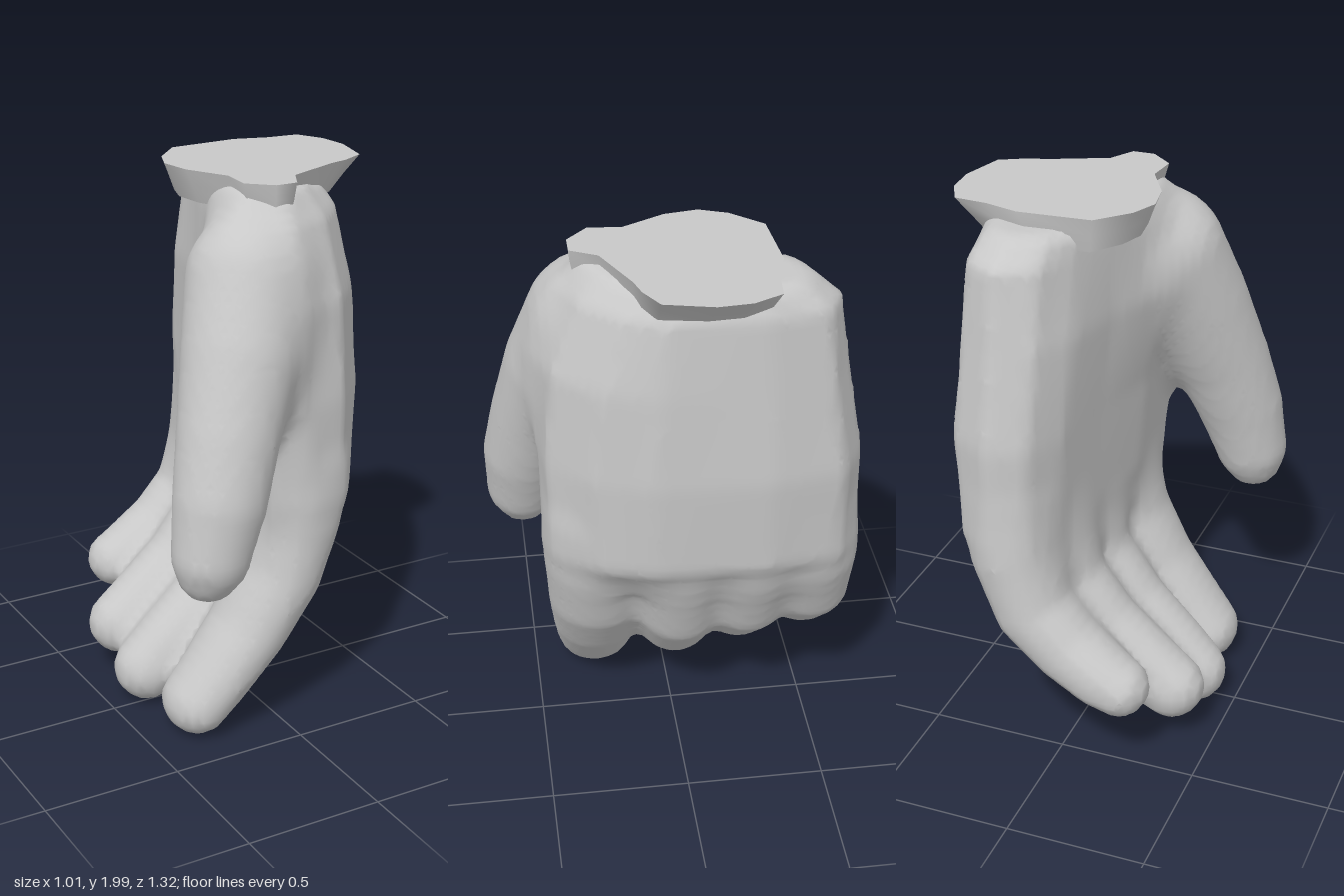
import * as THREE from 'three';

const lerp = THREE.MathUtils.lerp;

// Palm cross-sections [y, [x, z]...]: flat back on +x, rounded index edge on +z, hollow on -x
const palm = [
  [1.95, [[0.33, -0.27], [0.32, 0.0], [0.26, 0.12], [0.14, 0.25], [0.02, 0.32], [-0.1, 0.25],
    [-0.1, 0.05], [-0.05, -0.15], [0.0, -0.3], [0.07, -0.4], [0.18, -0.44], [0.28, -0.4]]],
  [1.86, [[0.37, -0.28], [0.36, 0.05], [0.3, 0.19], [0.17, 0.33], [0.0, 0.39], [-0.15, 0.3],
    [-0.13, 0.08], [-0.06, -0.15], [0.0, -0.34], [0.07, -0.49], [0.2, -0.55], [0.32, -0.49]]],
  [1.6, [[0.385, -0.3], [0.385, 0.08], [0.33, 0.26], [0.18, 0.43], [0.0, 0.47], [-0.17, 0.4],
    [-0.17, 0.1], [-0.07, -0.16], [-0.02, -0.4], [0.06, -0.54], [0.2, -0.59], [0.34, -0.51]]],
  [1.25, [[0.41, -0.3], [0.4, 0.1], [0.33, 0.3], [0.18, 0.46], [0.0, 0.48], [-0.11, 0.39],
    [-0.1, 0.1], [-0.04, -0.2], [0.0, -0.45], [0.07, -0.6], [0.2, -0.65], [0.36, -0.56]]],
  [0.88, [[0.39, -0.3], [0.385, 0.08], [0.33, 0.28], [0.2, 0.44], [0.05, 0.475], [-0.07, 0.4],
    [-0.07, 0.1], [-0.02, -0.2], [0.02, -0.45], [0.08, -0.6], [0.2, -0.65], [0.34, -0.56]]],
  [0.72, [[0.27, -0.3], [0.26, 0.08], [0.2, 0.28], [0.13, 0.4], [0.05, 0.42], [-0.04, 0.36],
    [-0.04, 0.1], [0, -0.2], [0.03, -0.45], [0.08, -0.57], [0.17, -0.61], [0.25, -0.52]]],
];

// Digits: path of [x, y, z, radius], widened along z, with the softness of the join
const digits = [
  { name: 'thumb', wide: 1, soft: 0.1, path: [[0.0, 1.82, 0.18, 0.14], [-0.1, 1.68, 0.28, 0.21],
    [-0.18, 1.45, 0.37, 0.2], [-0.27, 1.2, 0.45, 0.175], [-0.33, 1.0, 0.5, 0.16],
    [-0.375, 0.82, 0.52, 0.135], [-0.385, 0.77, 0.52, 0.11]] },
  { name: 'index', wide: 1.25, soft: 0.06, path: [[0.13, 0.98, 0.27, 0.14], [0.09, 0.78, 0.27, 0.16],
    [0.03, 0.58, 0.275, 0.148], [-0.09, 0.38, 0.275, 0.132], [-0.23, 0.21, 0.27, 0.12], [-0.305, 0.125, 0.265, 0.113]] },
  { name: 'middle', wide: 1, soft: 0.06, path: [[0.18, 1.0, -0.02, 0.15], [0.155, 0.8, -0.02, 0.18],
    [0.08, 0.55, -0.02, 0.16], [-0.08, 0.36, -0.025, 0.145], [-0.25, 0.22, -0.03, 0.13], [-0.345, 0.135, -0.035, 0.122]] },
  { name: 'ring', wide: 1, soft: 0.06, path: [[0.18, 1.0, -0.27, 0.15], [0.165, 0.8, -0.27, 0.18],
    [0.09, 0.58, -0.27, 0.16], [-0.07, 0.41, -0.27, 0.14], [-0.24, 0.28, -0.27, 0.13], [-0.34, 0.215, -0.27, 0.118]] },
  { name: 'little', wide: 1.1, soft: 0.06, path: [[0.18, 1.0, -0.47, 0.13], [0.17, 0.8, -0.49, 0.15],
    [0.1, 0.6, -0.505, 0.135], [-0.03, 0.47, -0.51, 0.125], [-0.16, 0.385, -0.52, 0.115], [-0.235, 0.35, -0.525, 0.103]] },
];

// Signed distance to the palm, whose outline is interpolated between cross-sections
function palmDistance(x, y, z) {
  const yc = THREE.MathUtils.clamp(y, palm[palm.length - 1][0], palm[0][0]);
  let j = 0;
  while (j < palm.length - 2 && yc < palm[j + 1][0]) j++;
  const [ya, a] = palm[j], [yb, b] = palm[j + 1], t = (ya - yc) / (ya - yb);
  const pts = a.map((p, i) => [lerp(p[0], b[i][0], t), lerp(p[1], b[i][1], t)]);
  let d = Infinity, inside = false;
  pts.forEach(([px, pz], i) => {
    const [qx, qz] = pts[(i + 1) % pts.length];
    const ex = qx - px, ez = qz - pz;
    const s = THREE.MathUtils.clamp(((x - px) * ex + (z - pz) * ez) / (ex * ex + ez * ez), 0, 1);
    d = Math.min(d, Math.hypot(x - px - ex * s, z - pz - ez * s));
    if (pz > z !== qz > z && x < px + (ex * (z - pz)) / ez) inside = !inside;
  });
  return Math.max(inside ? -d : d, Math.abs(y - yc) > 0 ? Math.abs(y - yc) : Math.max(y - palm[0][0], palm[palm.length - 1][0] - y));
}

// Signed distance to a digit: a chain of tapered capsules
function digitDistance({ path, wide }, x, y, z) {
  let d = Infinity;
  for (let i = 0; i < path.length - 1; i++) {
    const [ax, ay, az, ar] = path[i], [bx, by, bz, br] = path[i + 1];
    const e = [bx - ax, by - ay, (bz - az) / wide], p = [x - ax, y - ay, (z - az) / wide];
    const dot = e[0] * p[0] + e[1] * p[1] + e[2] * p[2];
    const t = THREE.MathUtils.clamp(dot / (e[0] ** 2 + e[1] ** 2 + e[2] ** 2), 0, 1);
    d = Math.min(d, Math.hypot(p[0] - e[0] * t, p[1] - e[1] * t, p[2] - e[2] * t) - lerp(ar, br, t));
  }
  return d;
}

// Palm and digits blended into one skin
function handDistance(x, y, z) {
  return digits.reduce((d, digit) => {
    const e = digitDistance(digit, x, y, z);
    const h = Math.max(digit.soft - Math.abs(d - e), 0) / digit.soft;
    return Math.min(d, e) - (h * h * digit.soft) / 4;
  }, palmDistance(x, y, z));
}

// Mesh the zero level of a distance function on a regular grid
function skinGeometry(f, min, size, step) {
  const n = size.map((s) => Math.ceil(s / step) + 1);
  const stride = [1, n[0], n[0] * n[1]];
  const field = new Float32Array(n[0] * n[1] * n[2]);
  const each = (from, fn) => {
    for (let k = from; k < n[2] - 1; k++) for (let j = from; j < n[1] - 1; j++) for (let i = from; i < n[0] - 1; i++) {
      fn([i, j, k], i + j * stride[1] + k * stride[2]);
    }
  };
  field.fill(1);
  each(0, (c, id) => { field[id] = f(...c.map((v, a) => min[a] + v * step)); });

  // One vertex per crossed cell, at the mean of its edge crossings
  const vertex = new Map(), pos = [], idx = [];
  each(0, (c, id) => {
    const sum = [0, 0, 0];
    let count = 0;
    for (let corner = 0; corner < 8; corner++) {
      const o = [corner & 1, (corner >> 1) & 1, corner >> 2];
      const p = id + o[0] + o[1] * stride[1] + o[2] * stride[2];
      for (let a = 0; a < 3; a++) {
        const u = field[p], v = field[p + stride[a]];
        if (o[a] || u < 0 === v < 0) continue;
        for (let b = 0; b < 3; b++) sum[b] += o[b] + (a === b ? u / (u - v) : 0);
        count++;
      }
    }
    if (!count) return;
    vertex.set(id, pos.length / 3);
    pos.push(...sum.map((s, a) => min[a] + (c[a] + s / count) * step));
  });

  // One quad per crossed grid edge
  each(1, (c, id) => {
    for (let a = 0; a < 3; a++) {
      const inside = field[id] < 0;
      if (inside === field[id + stride[a]] < 0) continue;
      const sb = stride[(a + 1) % 3], sc = stride[(a + 2) % 3];
      const q = [id, id - sb, id - sb - sc, id - sc].map((v) => vertex.get(v));
      if (!inside) q.reverse();
      idx.push(q[0], q[1], q[2], q[0], q[2], q[3]);
    }
  });
  const g = new THREE.BufferGeometry();
  g.setAttribute('position', new THREE.Float32BufferAttribute(pos, 3));
  g.setIndex(idx);
  g.computeVertexNormals();
  return g;
}

// Wrist: ragged flat cut that narrows downwards into the hand
function wristGeometry() {
  const cut = [[0.5, -0.08], [0.46, 0.09], [0.37, 0.14], [0.3, 0.16], [0.1, 0.25], [0.05, 0.345],
    [-0.03, 0.345], [-0.11, 0.27], [-0.1, 0.15], [-0.18, 0], [-0.2, -0.12], [-0.16, -0.22],
    [-0.06, -0.33], [0.2, -0.345], [0.32, -0.31], [0.44, -0.3], [0.49, -0.2]];
  const pos = [], idx = [], n = cut.length;
  [[2, 1, 1], [1.94, 0.86, 0.98], [1.88, 0.74, 0.94]].forEach(([y, sx, sz]) => {
    cut.forEach(([x, z]) => pos.push(x * sx, y, z * sz));
  });
  cut.forEach(([x, z]) => pos.push(x, 2, z));
  pos.push(0.1, 2, 0);
  for (let i = 0; i < n; i++) {
    const k = (i + 1) % n;
    for (const r of [0, n]) idx.push(r + i, r + k, r + i + n, r + k, r + k + n, r + i + n);
    idx.push(4 * n, 3 * n + k, 3 * n + i);
  }
  const g = new THREE.BufferGeometry();
  g.setAttribute('position', new THREE.Float32BufferAttribute(pos, 3));
  g.setIndex(idx);
  g.computeVertexNormals();
  return g;
}

export function createModel() {
  const group = new THREE.Group();
  group.name = 'hand';
  const grey = new THREE.MeshStandardMaterial({ color: 0xc8c8c8 });
  grey.name = 'plain grey';
  const skin = new THREE.Mesh(skinGeometry(handDistance, [-0.63, -0.09, -0.78], [1.2, 2.2, 1.56], 0.03), grey);
  skin.name = 'palmAndFingers';
  const wrist = new THREE.Mesh(wristGeometry(), grey);
  wrist.name = 'wrist';
  group.add(skin, wrist);
  return group;
}
